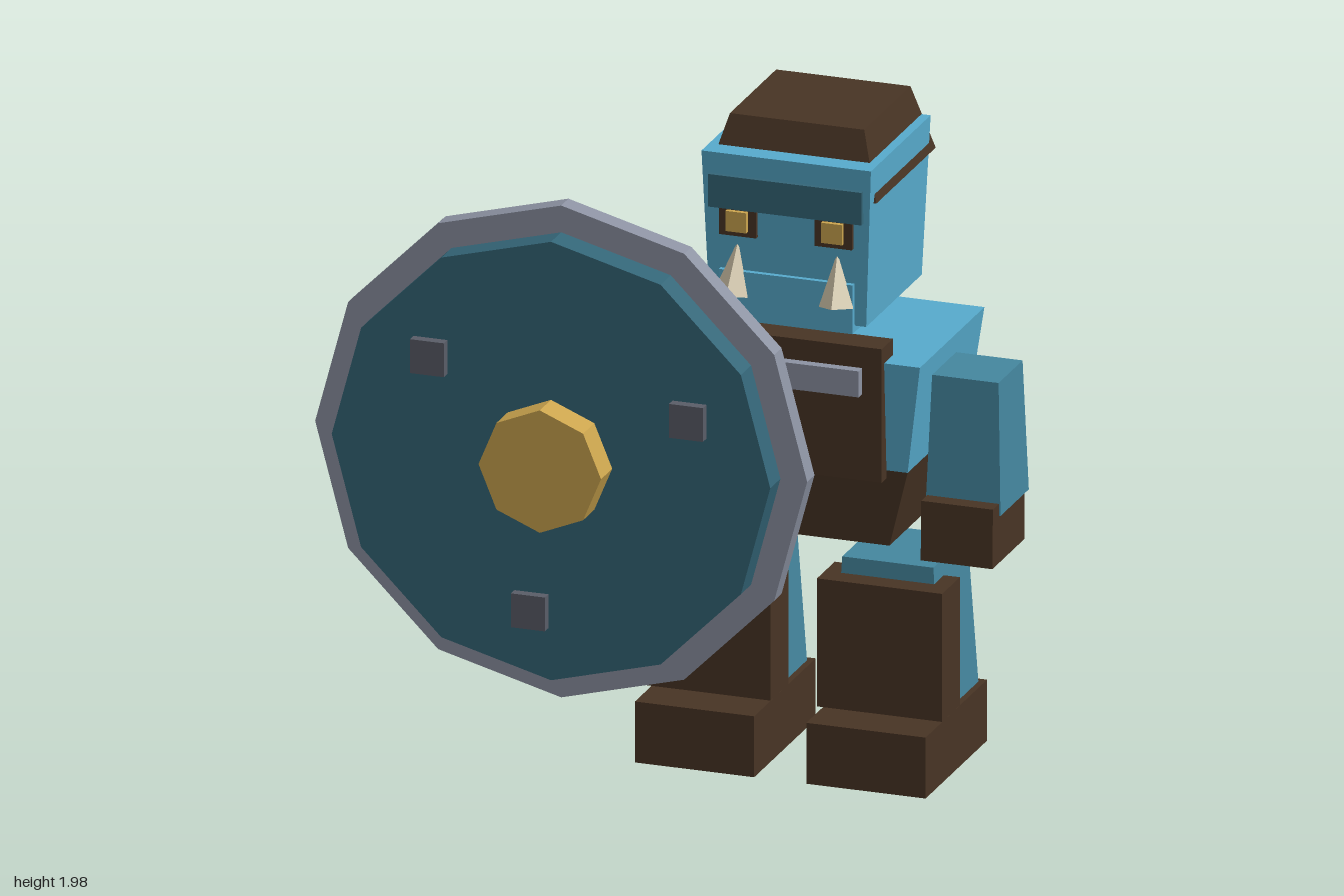
import * as THREE from 'three';

const CX = 0.385; // the figure's own centre line; the shield sits to its right

export function createModel() {
  const root = new THREE.Group();
  root.name = 'shieldWarrior';

  const mat = (name, color) => {
    const m = new THREE.MeshStandardMaterial({ color, flatShading: true });
    m.name = name;
    return m;
  };
  const skin = mat('skin blue', 0x57abcd);
  const limb = mat('limb blue', 0x45879f);
  const teal = mat('dark teal', 0x346678);
  const leather = mat('brown leather', 0x483424);
  const gold = mat('gold', 0xcca54e);
  const steel = mat('steel', 0x8d93a3);
  const iron = mat('dark iron', 0x5a5d68);
  const bone = mat('bone', 0xd9cdb0);

  const add = (name, geo, material, parent = root) => {
    const mesh = new THREE.Mesh(geo, material);
    mesh.name = name;
    parent.add(mesh);
    return mesh;
  };

  // Tapered block between two heights; each rectangle is [x0, x1, z0, z1]
  const block = (name, y0, y1, bottom, top, material, parent) => {
    const geo = new THREE.BoxGeometry(1, 1, 1);
    const p = geo.attributes.position;
    for (let i = 0; i < p.count; i++) {
      const r = p.getY(i) > 0 ? top : bottom;
      p.setXYZ(i, p.getX(i) > 0 ? r[1] : r[0], p.getY(i) > 0 ? y1 : y0, p.getZ(i) > 0 ? r[3] : r[2]);
    }
    geo.computeVertexNormals();
    return add(name, geo, material, parent);
  };
  // Block centred on x = 0 of its parent, from half widths
  const sym = (name, y0, y1, hb, zb, ht, zt, material, parent) =>
    block(name, y0, y1, [-hb, hb, ...zb], [-ht, ht, ...zt], material, parent);

  const figure = new THREE.Group();
  figure.name = 'figure';
  figure.position.x = CX;
  root.add(figure);

  // Torso
  sym('chest', 0.96, 1.295, 0.36, [-0.43, 0.07], 0.405, [-0.455, 0.09], skin, figure);
  sym('hips', 0.72, 0.96, 0.295, [-0.4, 0.045], 0.36, [-0.43, 0.07], leather, figure);
  sym('breastplate', 0.935, 1.345, 0.295, [0.015, 0.11], 0.295, [0.015, 0.11], leather, figure);
  sym('chestBar', 1.2, 1.28, 0.235, [0.1, 0.14], 0.235, [0.1, 0.14], steel, figure);
  sym('neck', 1.29, 1.41, 0.125, [-0.305, -0.055], 0.125, [-0.305, -0.055], limb, figure);

  // Head
  const head = new THREE.Group();
  head.name = 'head';
  figure.add(head);
  sym('skull', 1.4, 1.885, 0.24, [-0.38, 0.09], 0.26, [-0.4, 0.105], skin, head);
  sym('jaw', 1.38, 1.53, 0.205, [-0.08, 0.11], 0.205, [-0.08, 0.11], skin, head);
  sym('hair', 1.775, 1.975, 0.264, [-0.432, 0.07], 0.206, [-0.378, 0.013], leather, head);
  sym('brow', 1.72, 1.82, 0.235, [0.06, 0.117], 0.235, [0.06, 0.117], teal, head);

  for (const s of [-1, 1]) {
    const side = s > 0 ? 'left' : 'right';

    // Eyes and tusks
    const ex = s * 0.147;
    const eye = (w) => [ex - w, ex + w];
    block(side + 'EyeSocket', 1.638, 1.735, [...eye(0.057), 0.06, 0.112], [...eye(0.057), 0.06, 0.112], leather, head);
    block(side + 'Eye', 1.655, 1.717, [...eye(0.032), 0.08, 0.126], [...eye(0.032), 0.08, 0.126], gold, head);
    const tusk = add(side + 'Tusk', new THREE.ConeGeometry(0.055, 0.16, 5), bone, head);
    tusk.position.set(s * 0.157, 1.54, 0.103);
    tusk.rotation.set(-0.15, 0, s * 0.06);

    // Arms
    const arm = new THREE.Group();
    arm.name = side + 'Arm';
    arm.position.x = s * 0.499;
    figure.add(arm);
    sym('upperArm', 0.83, 1.23, 0.115, [-0.255, -0.015], 0.102, [-0.238, -0.035], limb, arm);
    sym('glove', 0.685, 0.866, 0.11, [-0.23, 0.04], 0.11, [-0.23, 0.035], leather, arm);

    // Legs
    const leg = new THREE.Group();
    leg.name = side + 'Leg';
    leg.position.x = s * 0.263;
    figure.add(leg);
    sym('thigh', 0.18, 0.64, 0.165, [-0.342, -0.015], 0.14, [-0.318, -0.03], limb, leg);
    sym('shinGuard', 0.197, 0.59, 0.192, [-0.11, 0.04], 0.192, [-0.11, 0.04], leather, leg);
    sym('boot', 0, 0.187, 0.183, [-0.365, 0.155], 0.183, [-0.365, 0.155], leather, leg);
  }

  // Forearm that carries the shield
  const fore = [-0.392, -0.1, -0.142, 0.212];
  block('shieldForearm', 0.78, 1.078, fore, fore, limb);

  // Round shield, stacked along z
  const shield = new THREE.Group();
  shield.name = 'shield';
  shield.position.set(-0.245, 0.972, 0);
  root.add(shield);
  const disc = (name, r, sides, z0, z1, material) => {
    const geo = new THREE.CylinderGeometry(r, r, z1 - z0, sides);
    geo.rotateX(Math.PI / 2);
    geo.translate(0, 0, (z0 + z1) / 2);
    add(name, geo, material, shield);
  };
  disc('rim', 0.755, 12, 0.21, 0.272, steel);
  disc('face', 0.673, 12, 0.26, 0.358, teal);
  disc('boss', 0.188, 8, 0.35, 0.453, gold);
  for (const [x, y] of [[-0.37, 0.28], [0.425, 0.18], [-0.06, -0.462]]) {
    const stud = add('stud', new THREE.BoxGeometry(0.104, 0.104, 0.05), iron, shield);
    stud.position.set(x, y, 0.363);
  }

  return root;
}
